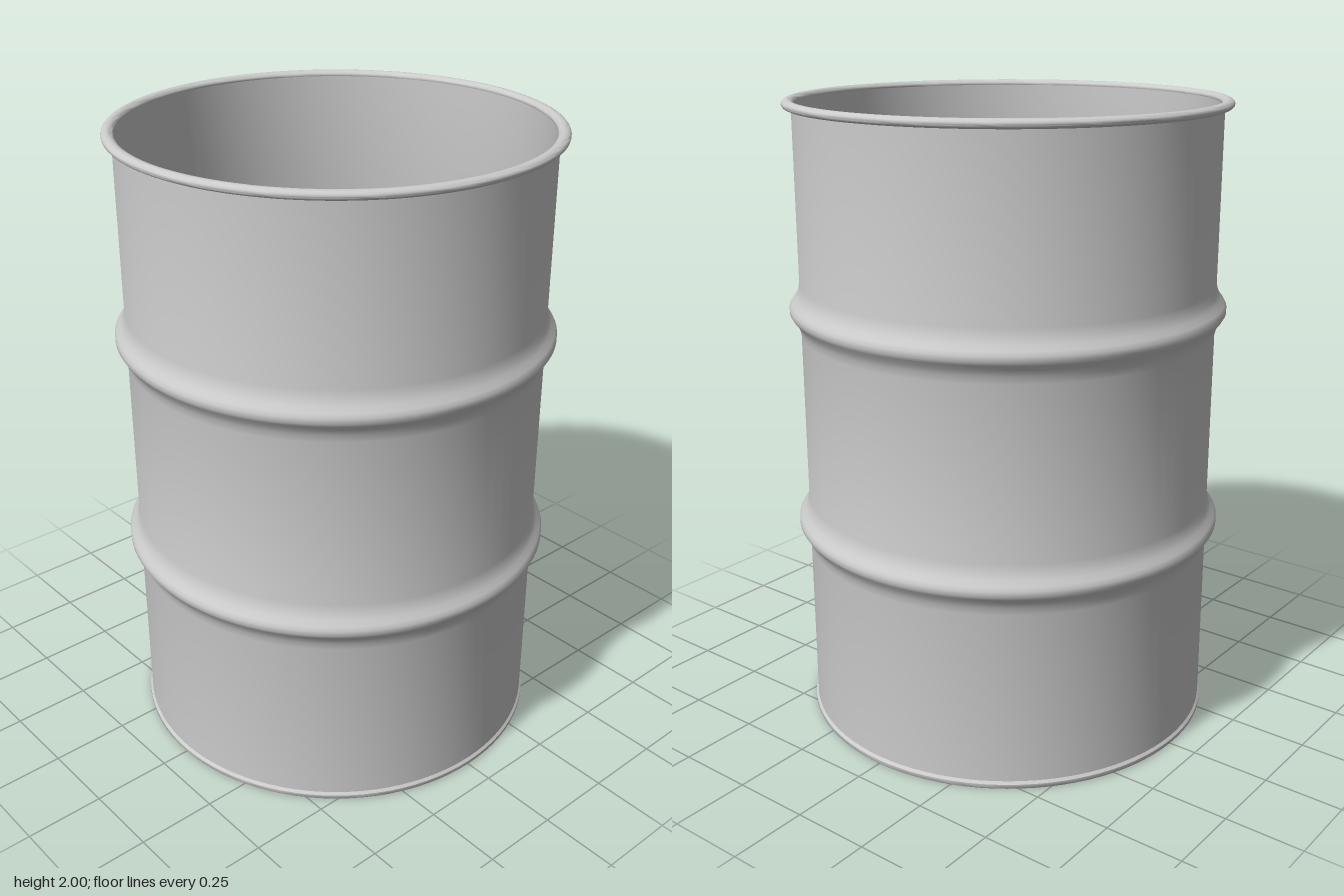
import * as THREE from 'three';
import { toCreasedNormals } from 'three/addons/utils/BufferGeometryUtils.js';

const SEGMENTS = 96;
const WALL = 0.655;
const RIBS = [0.66, 1.36];
const material = new THREE.MeshStandardMaterial({ color: 0xcccccc });

// Revolve [radius, height] pairs; upward runs face outward
function lathe(name, pairs) {
  const points = pairs.map(([r, y]) => new THREE.Vector2(r, y));
  const geometry = toCreasedNormals(new THREE.LatheGeometry(points, SEGMENTS), 0.7);
  const mesh = new THREE.Mesh(geometry, material);
  mesh.name = name;
  return mesh;
}

// Wall line with a flared bead pressed out at each rib height
function wallLine(offset, bottom, top) {
  const bead = [[-0.08, 0], [-0.055, 0.005], [-0.035, 0.014], [-0.02, 0.026], [-0.008, 0.033],
    [0.008, 0.033], [0.02, 0.026], [0.035, 0.014], [0.055, 0.005], [0.08, 0]];
  const line = [[WALL + offset, bottom]];
  for (const y of RIBS) {
    for (const [dy, dr] of bead) line.push([WALL + offset + dr, y + dy]);
  }
  line.push([WALL + offset, top]);
  return line;
}

export function createModel() {
  const drum = new THREE.Group();
  drum.name = 'drum';

  // Outer and inner skins of the ribbed sheet wall
  drum.add(lathe('outerWall', wallLine(0, 0.01, 1.98)));
  drum.add(lathe('innerWall', wallLine(-0.008, 0.02, 1.985).reverse()));

  // Rolled lip around the open top
  const lip = [];
  for (let i = 0; i <= 16; i++) {
    const a = -Math.PI / 2 + (i / 16) * Math.PI * 2;
    lip.push([0.665 + 0.019 * Math.cos(a), 1.986 + 0.014 * Math.sin(a)]);
  }
  drum.add(lathe('topRim', lip));

  // Base plate with a thin crimped edge, and the floor inside
  drum.add(lathe('base', [[0, 0.004], [0.64, 0.004], [0.645, 0], [0.658, 0],
    [0.662, 0.005], [0.662, 0.016], [WALL, 0.024]]));
  drum.add(lathe('floor', [[WALL - 0.008, 0.035], [0.635, 0.022], [0, 0.022]]));

  return drum;
}
